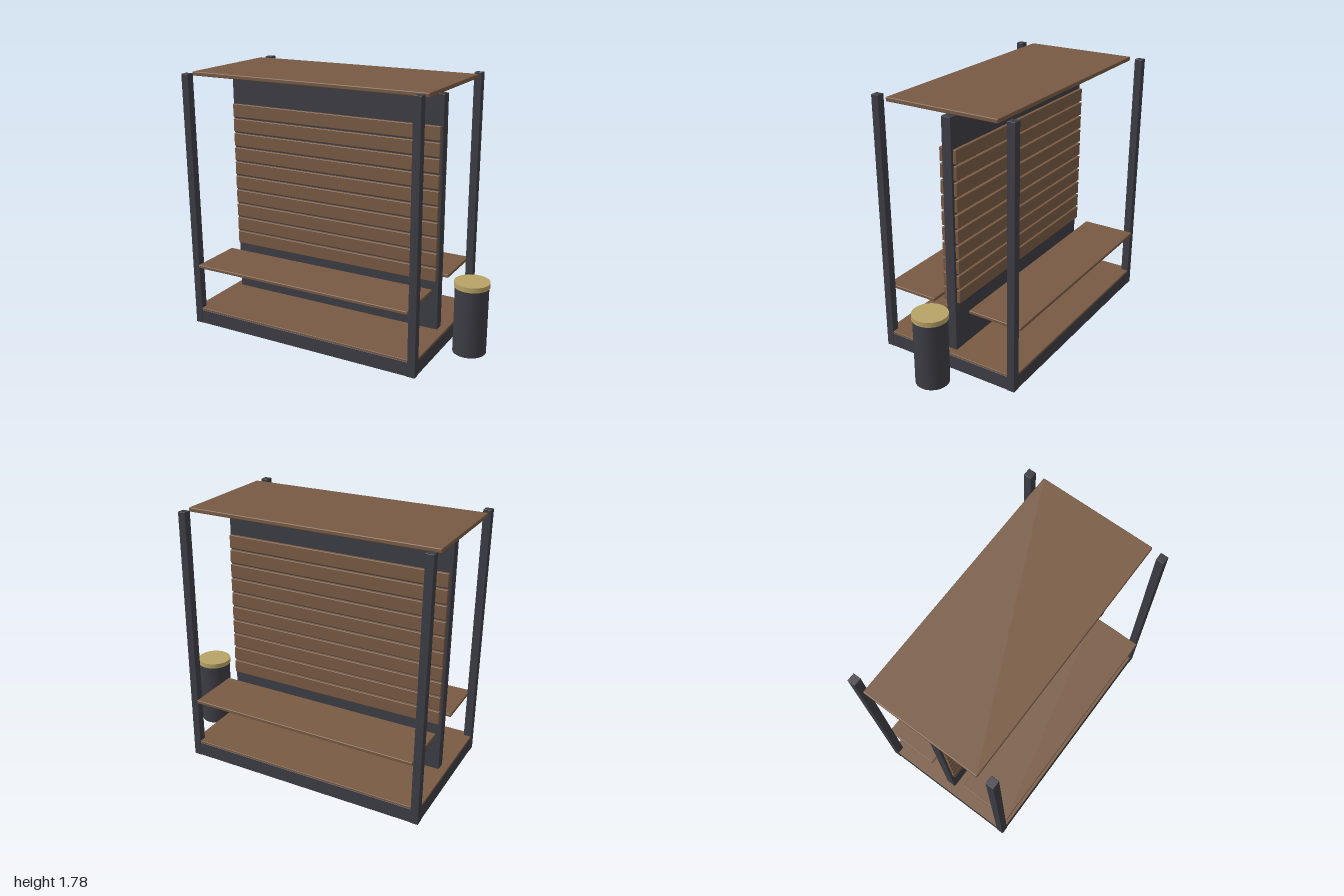
import * as THREE from 'three';
import { RoundedBoxGeometry } from 'three/addons/geometries/RoundedBoxGeometry.js';

const mat = (name, color) => {
  const m = new THREE.MeshStandardMaterial({ color });
  m.name = name;
  return m;
};

export function createModel() {
  const model = new THREE.Group();
  model.name = 'shelter';
  const metal = mat('dark metal', 0x3c3c44);
  const wood = mat('brown wood', 0x785a43);
  const brass = mat('brass', 0xb8a366);

  const add = (name, geometry, material, x, y, z) => {
    const mesh = new THREE.Mesh(geometry, material);
    mesh.name = name;
    mesh.position.set(x, y, z);
    model.add(mesh);
    return mesh;
  };
  // Box given by its minimum and maximum corners, with slightly eased edges
  const box = (name, material, x0, x1, y0, y1, z0, z1, r = 0.003) =>
    add(name, new RoundedBoxGeometry(x1 - x0, y1 - y0, z1 - z0, 2, r), material,
      (x0 + x1) / 2, (y0 + y1) / 2, (z0 + z1) / 2);

  // Base plinth and deck boards
  box('base', metal, -0.997, 0.713, 0, 0.1, -0.512, 0.512);
  box('deck', wood, -0.997, 0.713, 0.1, 0.116, -0.512, 0.512);

  // Corner posts
  for (const z of [-0.488, 0.488]) {
    for (const x of [-0.973, 0.689]) {
      box('cornerPost', metal, x - 0.027, x + 0.027, 0, 1.782, z - 0.027, z + 0.027);
    }
  }

  // Central wall and roof
  box('wall', metal, -0.945, 0.66, 0.11, 1.713, -0.034, 0.034);
  box('roof', wood, -1, 0.716, 1.754, 1.782, -0.402, 0.402, 0.006);

  // Slats and a bench on both faces of the wall
  for (const side of [1, -1]) {
    for (let i = 0; i < 10; i++) {
      const y = 0.47 + i * 0.1057;
      const slat = box('slat', wood, -0.932, 0.65, y, y + 0.092, 0.038, 0.063, 0.004);
      slat.position.z *= side;
    }
    const bench = box('bench', wood, -0.945, 0.66, 0.427, 0.45, 0.138, 0.526, 0.005);
    bench.position.z *= side;
  }

  // Litter bin with a brass lid
  add('binBody', new THREE.CylinderGeometry(0.112, 0.112, 0.467, 48), metal, 0.882, 0.2335, 0);
  add('binLid', new THREE.CylinderGeometry(0.118, 0.118, 0.034, 48), brass, 0.882, 0.484, 0);

  return model;
}
